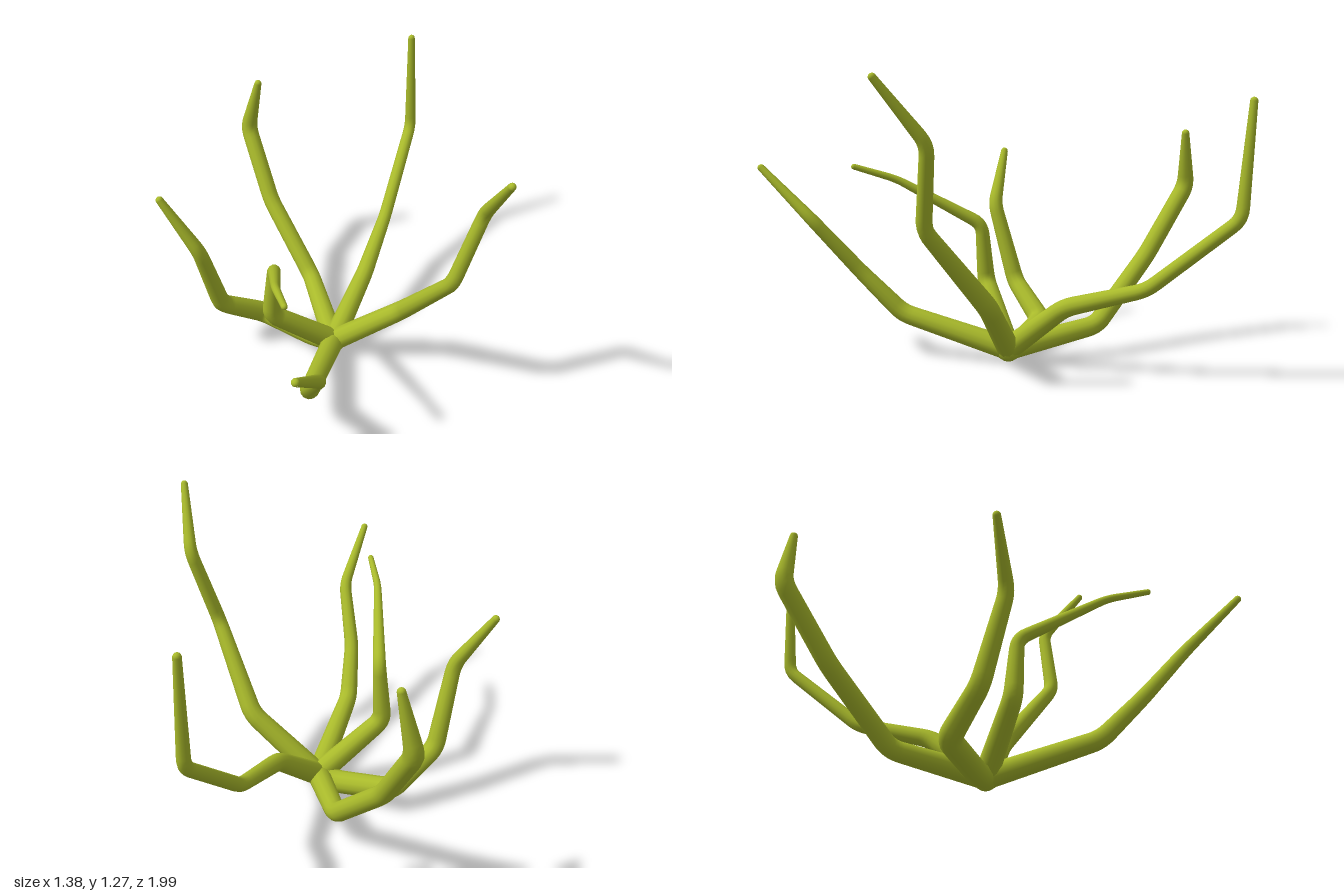
import * as THREE from 'three';
import { mergeGeometries } from 'three/addons/utils/BufferGeometryUtils.js';

const SIDES = 12;
const HUB = [0.055, 0.065, -0.05, 0.052];

// Each tentacle: joints as x, y, z, radius, running from the hub to the tip
const TENTACLES = {
  frontLeftTentacle: [
    [0.33, 0.32, 0.11, 0.044], [0.44, 0.67, 0.395, 0.033],
    [0.55, 1.01, 0.4, 0.029], [0.55, 1.26, 0.6, 0.016]],
  backLeftTentacle: [
    [0.26, 0.285, -0.24, 0.04], [0.45, 0.385, -0.53, 0.031],
    [0.67, 0.7, -0.835, 0.028], [0.665, 1.165, -0.872, 0.016]],
  backTentacle: [
    [0.05, 0.145, -0.46, 0.043], [-0.08, 0.43, -0.75, 0.041],
    [-0.138, 0.74, -0.965, 0.04], [-0.087, 0.99, -0.935, 0.017]],
  backRightTentacle: [
    [-0.02, 0.055, -0.11, 0.052], [-0.23, 0.11, -0.285, 0.05],
    [-0.44, 0.26, -0.22, 0.042], [-0.53, 0.63, -0.14, 0.033], [-0.67, 0.875, -0.225, 0.017]],
  rightTentacle: [
    [-0.245, 0.31, -0.025, 0.042], [-0.23, 0.58, 0, 0.03],
    [-0.303, 0.79, 0.38, 0.017], [-0.31, 0.85, 0.57, 0.013]],
  frontRightTentacle: [
    [-0.17, 0.2, 0.38, 0.042], [-0.22, 0.39, 0.56, 0.034],
    [-0.225, 0.63, 0.77, 0.028], [-0.365, 0.85, 0.975, 0.016]],
};

const toVector = (j) => new THREE.Vector3(j[0], j[1], j[2]);

function ball(joint) {
  return new THREE.SphereGeometry(joint[3], SIDES, 8).translate(joint[0], joint[1], joint[2]);
}

// Straight runs joined by short rounded bends
function bentPath(points) {
  const path = new THREE.CurvePath();
  let from = points[0];
  for (let i = 1; i < points.length - 1; i++) {
    const p = points[i];
    const near = (q) => p.clone().lerp(q, Math.min(0.4, 0.045 / p.distanceTo(q)));
    const enter = near(points[i - 1]);
    const leave = near(points[i + 1]);
    path.add(new THREE.LineCurve3(from, enter));
    path.add(new THREE.QuadraticBezierCurve3(enter, p, leave));
    from = leave;
  }
  path.add(new THREE.LineCurve3(from, points[points.length - 1]));
  return path;
}

// Tube whose rings shrink from joint to joint, closed by a round tip
function tentacle(joints) {
  const points = joints.map(toVector);
  const lengths = [0];
  for (let i = 1; i < points.length; i++) {
    lengths.push(lengths[i - 1] + points[i].distanceTo(points[i - 1]));
  }
  const total = lengths[lengths.length - 1];
  const radiusAt = (u) => {
    let i = 1;
    while (i < lengths.length - 1 && lengths[i] < u * total) i++;
    const t = (u * total - lengths[i - 1]) / (lengths[i] - lengths[i - 1]);
    return THREE.MathUtils.lerp(joints[i - 1][3], joints[i][3], Math.min(t, 1));
  };

  const path = bentPath(points);
  const rings = 72;
  const tube = new THREE.TubeGeometry(path, rings, 1, SIDES, false);
  const { position, normal } = tube.attributes;
  const offset = new THREE.Vector3();
  for (let r = 0; r <= rings; r++) {
    const centre = path.getPointAt(r / rings);
    const radius = radiusAt(r / rings);
    for (let s = 0; s <= SIDES; s++) {
      const k = r * (SIDES + 1) + s;
      offset.fromBufferAttribute(normal, k).multiplyScalar(radius).add(centre);
      position.setXYZ(k, offset.x, offset.y, offset.z);
    }
  }
  return mergeGeometries([tube, ball(joints[joints.length - 1])]);
}

export function createModel() {
  const group = new THREE.Group();
  const material = new THREE.MeshStandardMaterial({ color: 0xa9ba2b });
  const add = (name, geometry) => {
    const mesh = new THREE.Mesh(geometry, material);
    mesh.name = name;
    group.add(mesh);
  };

  // Rounded joint where all tentacles meet
  add('hub', ball([0.055, 0.068, -0.05, 0.06]));
  for (const [name, joints] of Object.entries(TENTACLES)) {
    add(name, tentacle([HUB, ...joints]));
  }
  return group;
}
